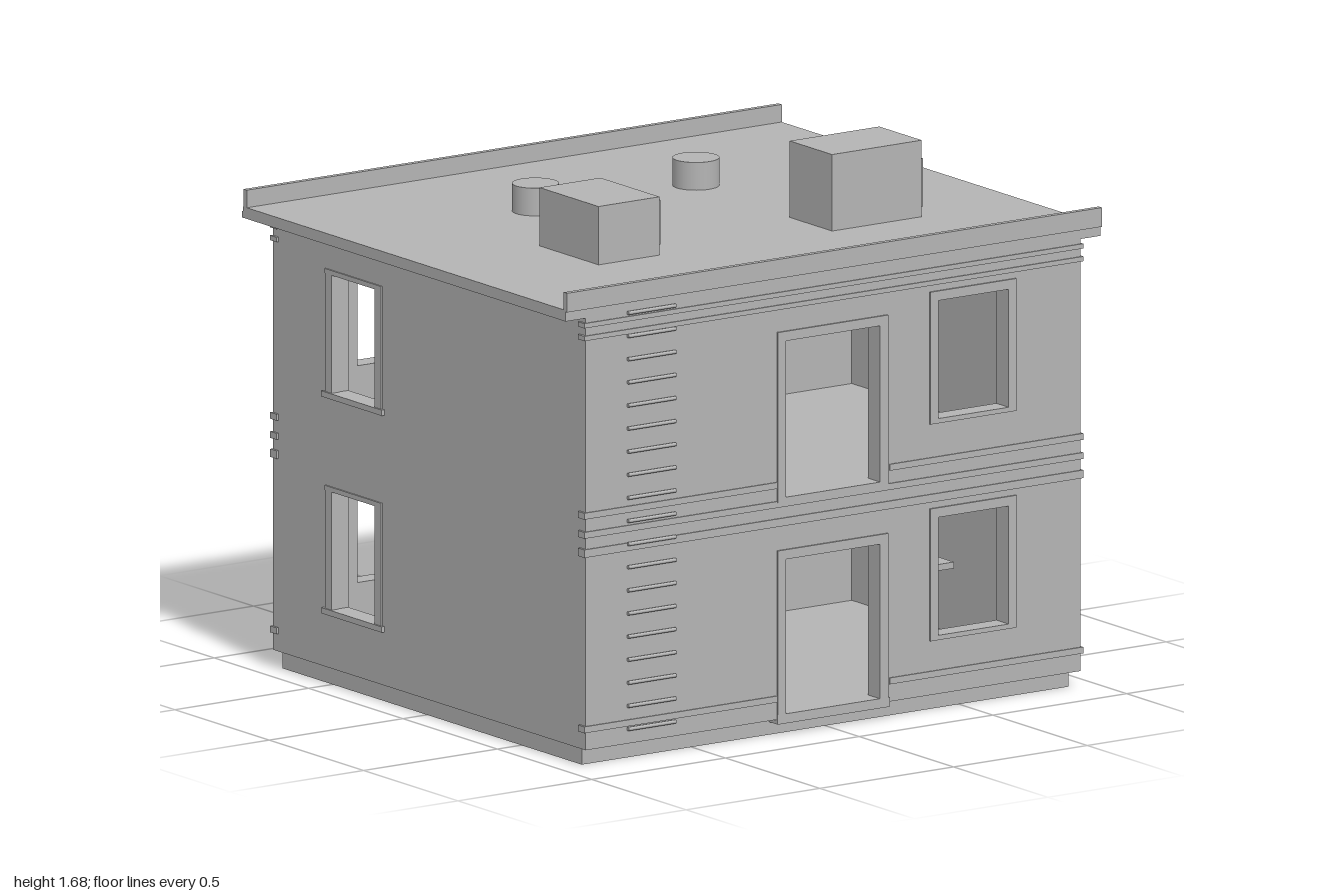
import * as THREE from 'three';

const HW = 0.925, ZF = 0.862, ZB = -0.795, T = 0.06;

export function createModel() {
  const model = new THREE.Group();
  const grey = new THREE.MeshStandardMaterial({ color: 0xb4b4b4 });

  function add(name, geo, parent = model) {
    const m = new THREE.Mesh(geo, grey);
    m.name = name;
    parent.add(m);
    return m;
  }
  // Box given by its two extremes on each axis
  function box(name, x0, x1, y0, y1, z0, z1, parent = model) {
    const m = add(name, new THREE.BoxGeometry(x1 - x0, y1 - y0, z1 - z0), parent);
    m.position.set((x0 + x1) / 2, (y0 + y1) / 2, (z0 + z1) / 2);
    return m;
  }
  function group(name) {
    const g = new THREE.Group();
    g.name = name;
    model.add(g);
    return g;
  }
  // Flat wall with rectangular openings [u0, u1, y0, y1]
  function wall(name, u0, u1, y0, y1, holes, depth) {
    const rect = (P, a, b, c, d) => new P([
      new THREE.Vector2(a, c), new THREE.Vector2(b, c),
      new THREE.Vector2(b, d), new THREE.Vector2(a, d)]);
    const s = rect(THREE.Shape, u0, u1, y0, y1);
    holes.forEach(h => s.holes.push(rect(THREE.Path, ...h)));
    return add(name, new THREE.ExtrudeGeometry(s, { depth, bevelEnabled: false }));
  }

  // Openings on both storeys
  const storeys = (a, b, list) => list.map(([c, d]) => [a, b, c, d]);
  const winY = [[0.24, 0.61], [0.92, 1.29]];
  const doorY = [[0.07, 0.555], [0.75, 1.24]];
  const doors = storeys(-0.18, 0.172, doorY);
  const winL = storeys(0.39, 0.652, winY);
  const winR = storeys(-0.652, -0.39, winY);
  const sideWin = storeys(-0.48, -0.25, winY);

  // Base, floors and walls
  box('base', -0.91, 0.91, 0, 0.07, -0.765, 0.82);
  box('groundFloor', -HW, HW, 0.055, 0.07, ZB, ZF);
  box('upperFloor', -0.9, 0.9, 0.69, 0.75, ZB + 0.03, ZF - 0.03);
  wall('frontWall', -HW, HW, 0.06, 1.42, [...doors, ...winL], T).position.z = ZF - T;
  wall('backWall', -HW, HW, 0.06, 1.42, [...doors, ...winL, ...winR], T).position.z = ZB;
  for (const s of [1, -1]) {
    const w = wall('sideWall', ZB + T, ZF - T, 0.06, 1.42, sideWin, T);
    w.rotation.y = -Math.PI / 2;
    w.position.x = s > 0 ? HW : -HW + T;
  }

  // Interior partition with doorways
  wall('partition', -HW + T, HW - T, 0.07, 1.42,
    storeys(0.175, 0.525, doorY), 0.035).position.z = -0.3;
  box('closetWall', 0.53, 0.56, 0.07, 0.69, ZB + T, -0.3);
  box('tableTop', -0.02, 0.36, 0.9, 0.92, -0.52, -0.38);
  for (const x of [0.0, 0.32])
    box('tableLeg', x, x + 0.02, 0.75, 0.9, -0.46, -0.44);
  box('chairSeat', 0.61, 0.75, 0.32, 0.34, 0.3, 0.44);
  box('chairLeg', 0.625, 0.64, 0.07, 0.32, 0.36, 0.38);

  // Door steps
  box('frontStep', -0.21, 0.21, 0.04, 0.07, 0.8, ZF + 0.004);
  box('backStep', -0.21, 0.21, 0.04, 0.07, ZB - 0.004, -0.75);

  // Thin surrounds on front and back openings
  const trim = group('openingTrim');
  function surround(h, z, s) {
    const [a, b, c, d] = h, p = 0.03;
    const z0 = Math.min(z, z + s * 0.006), z1 = Math.max(z, z + s * 0.006);
    box('lintel', a - p, b + p, d, d + p, z0, z1, trim);
    for (const x of [a - p, b]) box('jamb', x, x + p, c, d, z0, z1, trim);
    if (c > 0.1) box('sill', a - p, b + p, c - 0.015, c, z0, z1, trim);
  }
  [...doors, ...winL].forEach(h => surround(h, ZF, 1));
  [...doors, ...winL, ...winR].forEach(h => surround(h, ZB, -1));

  // Side window frames
  for (const s of [1, -1]) for (const [c, d] of winY) {
    const x0 = s > 0 ? HW - 0.02 : -HW - 0.005, x1 = x0 + 0.025;
    for (const z of [-0.512, -0.25]) box('sideJamb', x0, x1, c, d, z, z + 0.035, trim);
    box('sideLintel', x0, x1, d, d + 0.015, -0.515, -0.215, trim);
    box('sideSill', x0 - 0.005, x1 + 0.005, c - 0.018, c, -0.525, -0.205, trim);
  }

  // Horizontal bands, cut around the openings and wrapping the corners
  const bands = group('bands');
  for (const [c, d] of [[0.11, 0.13], [0.66, 0.685], [0.72, 0.74], [0.78, 0.8], [1.34, 1.355], [1.38, 1.395]])
    for (const [z0, z1] of [[ZF - 0.03, ZF + 0.004], [ZB - 0.004, ZB + 0.03]])
      for (const s of [1, -1]) {
        const inner = c > 1.3 || (c > 0.6 && c < 0.73) ? 0 : 0.21;
        const outer = HW + 0.008;
        const zo = z0 > 0 ? [ZF - 0.005, z1] : [z0, ZB + 0.005];
        const a = s > 0 ? inner : -outer, b = s > 0 ? outer : -inner;
        box('band', a, b, c, d, ...zo, bands);
        box('cornerBand', s > 0 ? HW - 0.01 : -outer, s > 0 ? outer : -HW + 0.01, c, d, z0, z1, bands);
      }

  // Roof slab, parapets and cornice
  box('roof', -1, 1, 1.41, 1.445, -0.848, ZF);
  box('frontParapet', -1, 1, 1.44, 1.5, 0.852, 0.87);
  box('backParapet', -1, 1, 1.44, 1.5, -0.845, -0.827);
  box('backCornice', -1, 1, 1.41, 1.43, -0.853, -0.84);

  // Rooftop units with vertical slats
  function unit(x0, x1, z0, z1, top, slatTop) {
    const g = group('roofUnit');
    box('unitBody', x0, x1, 1.44, top, z0, z1, g);
    const n = 9, step = (z1 - z0) / n;
    for (let i = 0; i < n; i++) {
      const z = z0 + (i + 0.5) * step;
      box('slat', x1 - 0.002, x1 + 0.01, 1.475, slatTop, z - step * 0.25, z + step * 0.25, g);
    }
  }
  unit(0.28, 0.615, 0.235, 0.46, 1.685, 1.625);
  unit(-0.565, -0.337, 0.107, 0.42, 1.628, 1.615);

  // Round roof vents
  for (const x of [-0.302, 0.298])
    add('roofVent', new THREE.CylinderGeometry(0.072, 0.072, 0.09, 32)).position.set(x, 1.487, -0.287);

  // Ladder rungs
  const ladder = group('ladder');
  for (let i = 0; i < 19; i++) {
    const r = add('rung', new THREE.CylinderGeometry(0.006, 0.006, 0.178, 10), ladder);
    r.rotation.z = Math.PI / 2;
    r.position.set(-0.683, 0.102 + i * 0.0725, 0.869);
  }

  // Wall lanterns: cap over a tapered body
  for (const x of [-0.803, 0.803]) for (const y of [1.24, 0.56]) {
    const g = group('lantern');
    box('lanternCap', x - 0.06, x + 0.06, y, y + 0.015, -0.877, ZB, g);
    const geo = new THREE.BoxGeometry(0.1, 0.15, 0.07);
    const p = geo.attributes.position;
    for (let i = 0; i < p.count; i++) if (p.getY(i) < 0) p.setX(i, p.getX(i) * 0.8);
    geo.computeVertexNormals();
    add('lanternBody', geo, g).position.set(x, y - 0.075, -0.83);
    box('lanternFront', x - 0.035, x + 0.035, y - 0.16, y, -0.872, -0.862, g);
  }

  // Blank board with stepped ends over the back door
  const board = group('board');
  box('boardCentre', -0.29, 0.29, 0.58, 0.7, -0.815, ZB, board);
  box('boardEnds', -0.335, 0.335, 0.605, 0.675, -0.813, ZB, board);

  // Pickets along the back
  const fence = group('fence');
  for (const s of [1, -1]) for (let i = 0; i < 8; i++) {
    const x = s * (0.275 + i * 0.078);
    box('picket', x - 0.008, x + 0.008, 0.085, 0.205, -0.803, ZB, fence);
  }
  return model;
}
